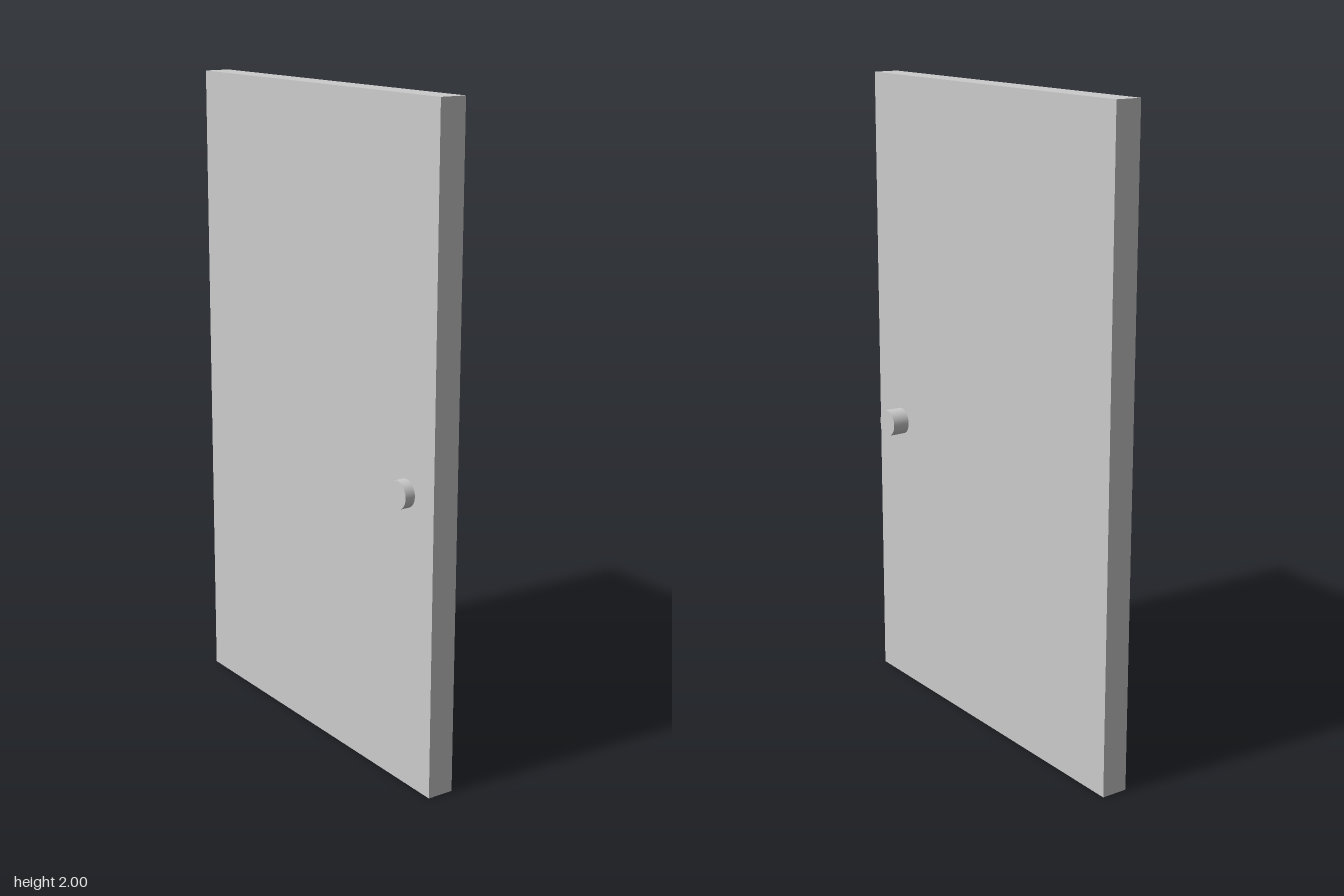
import * as THREE from 'three';

export function createModel() {
  const group = new THREE.Group();
  const material = new THREE.MeshStandardMaterial({ color: 0xcccccc });
  const faceLeft = 0.03, faceRight = -0.053;

  // Door slab, standing on the ground
  const door = new THREE.Mesh(new THREE.BoxGeometry(faceLeft - faceRight, 2, 1.2), material);
  door.name = 'doorPanel';
  door.position.set((faceLeft + faceRight) / 2, 1, 0);
  group.add(door);

  // A round knob from the door face out to the given x
  function addKnob(name, fromX, toX) {
    const geometry = new THREE.CylinderGeometry(0.042, 0.042, Math.abs(toX - fromX), 32);
    geometry.rotateZ(-Math.PI / 2);
    const knob = new THREE.Mesh(geometry, material);
    knob.name = name;
    knob.position.set((fromX + toX) / 2, 0.892, 0.471);
    group.add(knob);
  }
  addKnob('leftKnob', faceLeft, 0.085);
  addKnob('rightKnob', faceRight, -0.085);

  return group;
}
